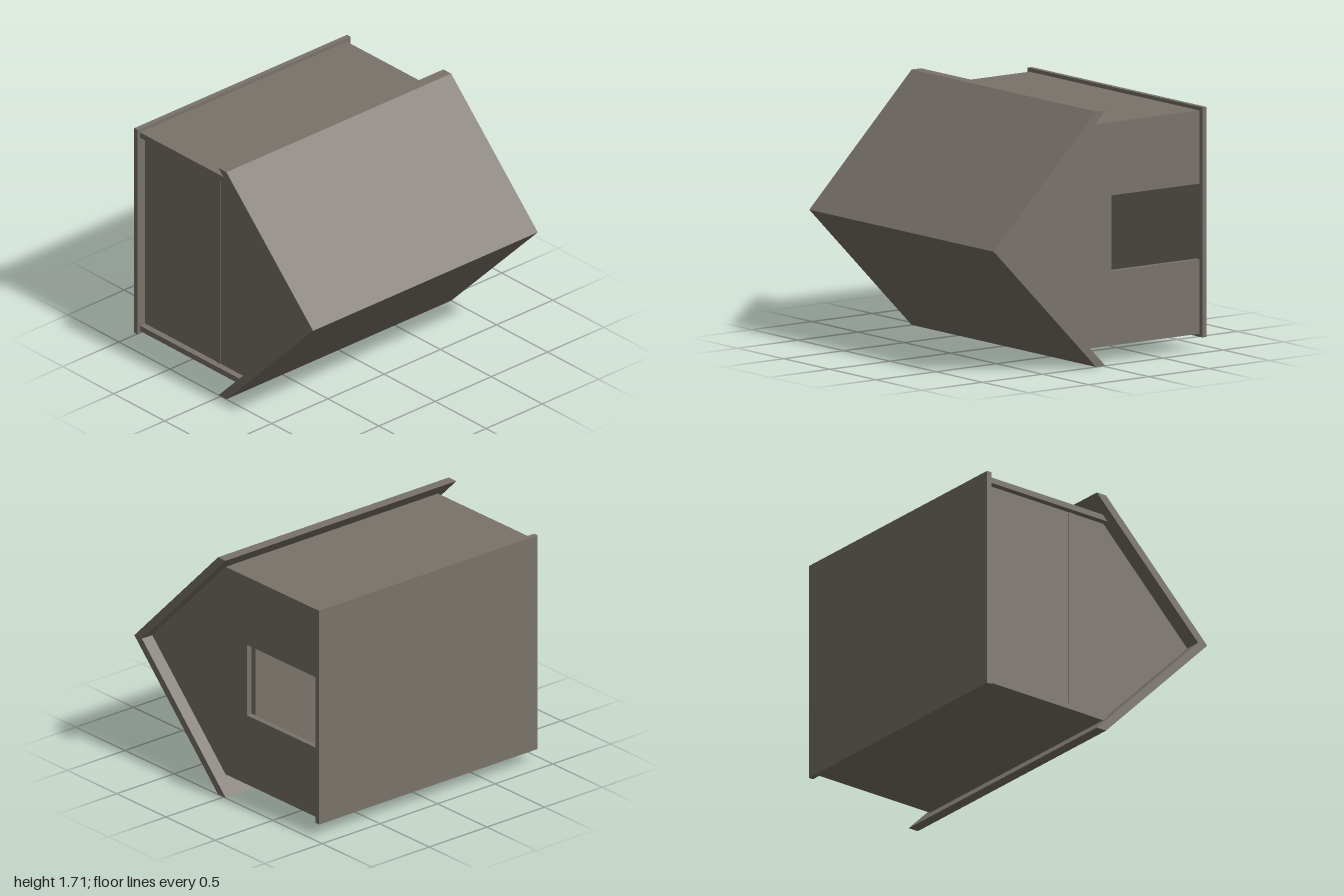
import * as THREE from 'three';

export function createModel() {
  const model = new THREE.Group();
  const stone = new THREE.MeshStandardMaterial({ color: 0x79736a });
  stone.name = 'warm grey';

  const add = (name, geometry) => {
    const mesh = new THREE.Mesh(geometry, stone);
    mesh.name = name;
    model.add(mesh);
  };

  // Box given by its limits on each axis
  const box = (name, [x0, x1], [y0, y1], [z0, z1]) => {
    const g = new THREE.BoxGeometry(x1 - x0, y1 - y0, z1 - z0);
    add(name, g.translate((x0 + x1) / 2, (y0 + y1) / 2, (z0 + z1) / 2));
  };

  // Side profile of [z, y] points, extruded from x0 to x1
  const slab = (name, points, x0, x1) => {
    const shape = new THREE.Shape(points.map(([z, y]) => new THREE.Vector2(z, y)));
    const g = new THREE.ExtrudeGeometry(shape, { depth: x1 - x0, bevelEnabled: false });
    add(name, g.rotateY(-Math.PI / 2).translate(x1, 0, 0));
  };

  const floorZ = -0.87, ridgeY = 0.863, low = 0.11, high = 1.605;

  // Floor plate, closing the back
  box('floor', [-0.95, 0.945], [0.09, 1.63], [-0.905, floorZ]);

  // Roof: two sloped panels meeting at the forward ridge
  slab('roof', [
    [0.905, ridgeY], [0.055, 1.71], [-0.022, 1.71], [0.828, ridgeY],
    [-0.022, 0], [0.055, 0],
  ], -1, 1);

  // Long walls
  const eaveZ = 0.085, t = 0.04;
  slab('upperLongWall', [[floorZ, high - t], [eaveZ + t, high - t], [eaveZ, high], [floorZ, high]], -0.93, 0.87);
  slab('lowerLongWall', [[floorZ, low], [eaveZ, low], [eaveZ + t, low + t], [floorZ, low + t]], -0.93, 0.87);

  // Gable wall with the door opening
  const roofLine = [[eaveZ, low], [0.828, ridgeY], [eaveZ, high]];
  slab('doorGable', [
    [floorZ, low], ...roofLine, [floorZ, high],
    [floorZ, 1.115], [-0.13, 1.115], [-0.13, 0.608], [floorZ, 0.608],
  ], 0.87, 0.91);

  // Plain gable wall, set in from the ends of the long walls
  slab('plainGable', [
    [floorZ, low + t], [eaveZ + t, low + t], [0.828, ridgeY],
    [eaveZ + t, high - t], [floorZ, high - t],
  ], -0.925 + t, -0.845);

  // Attic floor between the gables
  box('ceiling', [-0.89, 0.87], [low + t, high - t], [-0.17, -0.13]);

  return model;
}
